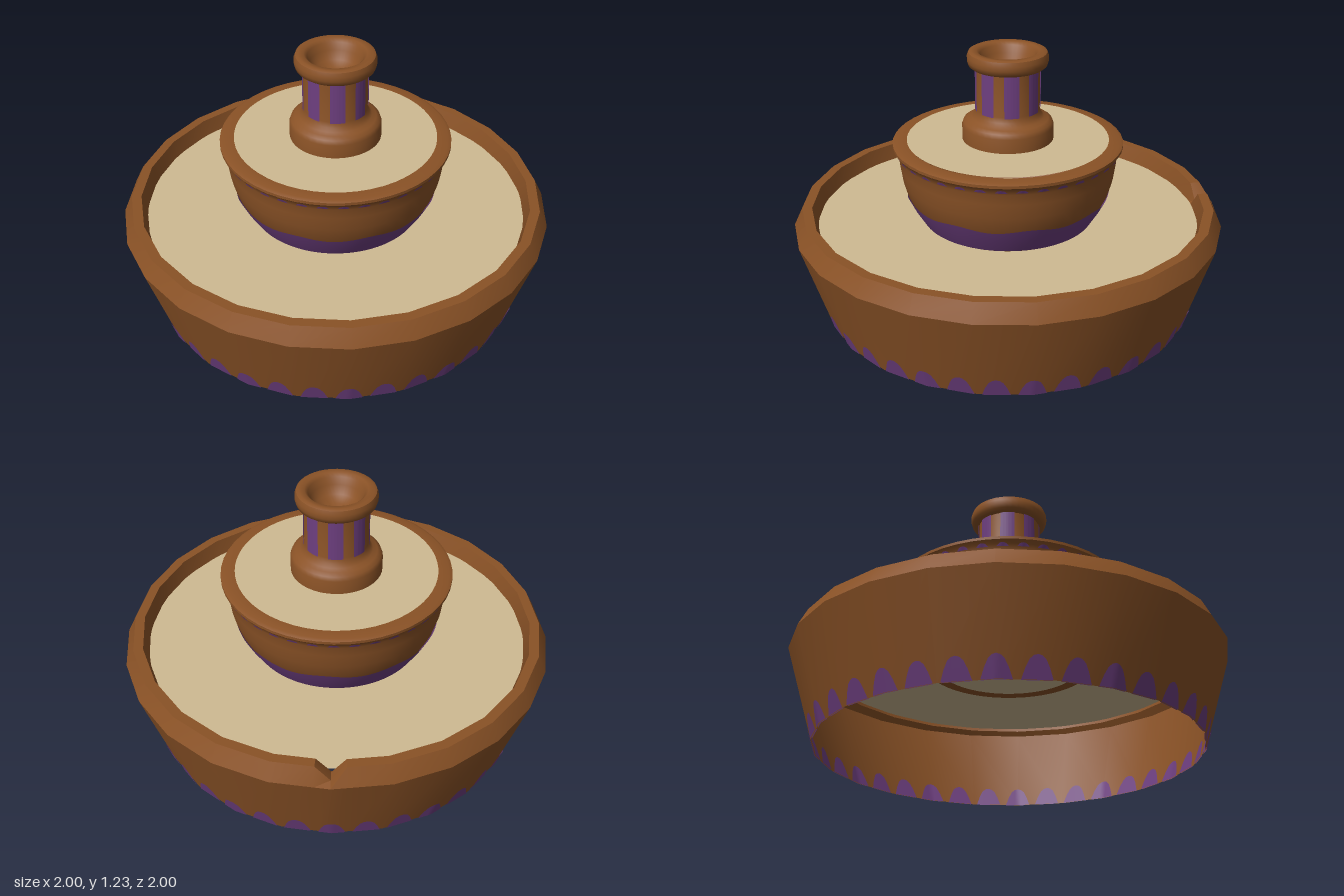
import * as THREE from 'three';
import { toCreasedNormals } from 'three/addons/utils/BufferGeometryUtils.js';

const RAD = Math.PI / 180;
const clay = new THREE.MeshStandardMaterial({ color: 0x8a5226, side: THREE.DoubleSide });
clay.name = 'clay brown';
const water = new THREE.MeshStandardMaterial({ color: 0xcfba92, side: THREE.DoubleSide });
water.name = 'sandy water';
const glaze = new THREE.MeshStandardMaterial({ color: 0x6e3f80, side: THREE.DoubleSide });
glaze.name = 'purple glaze';

function add(parent, name, geometry, material) {
  const mesh = new THREE.Mesh(geometry, material);
  mesh.name = name;
  parent.add(mesh);
  return mesh;
}

// Surface swept round the y axis; rows(angle) gives the [radius, y] section at each angle
function sweep(angles, rows) {
  const pos = [], idx = [];
  let n = 0;
  angles.forEach((a, i) => {
    const section = rows(a);
    n = section.length;
    for (const [r, y] of section) pos.push(r * Math.sin(a * RAD), y, r * Math.cos(a * RAD));
    if (i === 0) return;
    for (let j = 0; j < n - 1; j++) {
      const p = (i - 1) * n + j, q = i * n + j;
      idx.push(p, q, q + 1, p, q + 1, p + 1);
    }
  });
  const g = new THREE.BufferGeometry();
  g.setAttribute('position', new THREE.Float32BufferAttribute(pos, 3));
  g.setIndex(idx);
  return toCreasedNormals(g, 33 * RAD);
}

function lathe(points, segments) {
  const g = new THREE.LatheGeometry(points.map(([r, y]) => new THREE.Vector2(r, y)), segments);
  return toCreasedNormals(g, 40 * RAD);
}

function disc(radius, y) {
  return new THREE.CircleGeometry(radius, 64).rotateX(-Math.PI / 2).translate(0, y, 0);
}

const steps = (from, to, step) =>
  Array.from({ length: Math.round((to - from) / step) + 1 }, (_, i) => from + i * step);

// Radius factor that keeps a point on a 24-sided outline
const facet = (a) => Math.cos(7.5 * RAD) / Math.cos(((a % 15) - 7.5) * RAD);

// Dome-shaped bump repeated every `pitch` degrees
function scallop(a, pitch, halfWidth, height) {
  const u = ((a % pitch) - pitch / 2) / halfWidth;
  return height * Math.sqrt(Math.max(0, 1 - u * u));
}

// Radius of a profile at a given height
function radiusAt(profile, y) {
  for (let i = 1; i < profile.length; i++) {
    const [r0, y0] = profile[i - 1], [r1, y1] = profile[i];
    if (y1 > y0 && y >= y0 && y <= y1) return r0 + (r1 - r0) * (y - y0) / (y1 - y0);
  }
  return profile[0][0];
}

export function createModel() {
  const model = new THREE.Group();
  model.name = 'fountain';
  const round = steps(0, 360, 1);

  // Basin: open below, bevelled rim, with a small chip in the rim at the back left
  const basin = new THREE.Group();
  basin.name = 'basin';
  model.add(basin);
  const chip = 135;
  const angles = [...steps(0, 360, 15), chip - 4, chip + 4].sort((a, b) => a - b);
  add(basin, 'basinWall', sweep(angles, (a) => {
    const top = a === chip ? 0.43 : 0.5, f = facet(a);
    return [[0.87, 0], [1, 0.42], [0.96, top], [0.915, top], [0.89, 0.41]].map(([r, y]) => [r * f, y]);
  }), clay);
  add(basin, 'basinWater', disc(0.89, 0.425), water);

  // Painted scallops along the foot, inside and out
  for (const [name, offset] of [['outerScallops', 0.004], ['innerScallops', -0.004]]) {
    add(basin, name, sweep(round, (a) => {
      const h = scallop(a, 10, 3.4, 0.092), f = facet(a);
      return [0, h / 2, h].map((y) => [(0.87 + 0.31 * y) * f + offset, y]);
    }), glaze);
  }

  // Upper bowl
  const bowl = new THREE.Group();
  bowl.name = 'upperBowl';
  model.add(bowl);
  const profile = [
    [0.33, 0.41], [0.385, 0.41], [0.44, 0.5], [0.47, 0.56], [0.49, 0.63], [0.5, 0.7],
    [0.505, 0.75], [0.515, 0.775], [0.53, 0.79], [0.53, 0.803], [0.515, 0.81], [0.46, 0.808], [0.45, 0.79],
  ];
  add(bowl, 'bowlShell', lathe(profile, 48), clay);
  add(bowl, 'bowlWater', disc(0.465, 0.814), water);
  const onBowl = (y) => [radiusAt(profile, y) + 0.005, y];
  add(bowl, 'bowlBand', sweep(steps(0, 360, 3), (a) => {
    const top = 0.556 + 0.008 * Math.sin(a * 9 * RAD);
    return [0.43, 0.5, top].map(onBowl);
  }), glaze);
  add(bowl, 'bowlDashes', sweep(round, (a) => {
    const h = scallop(a, 10, 2.6, 0.016);
    return [0.762, 0.762 + h].map(onBowl);
  }), glaze);

  // Column with a flared foot and a hollow cup at the top
  const column = new THREE.Group();
  column.name = 'column';
  model.add(column);
  add(column, 'columnShaft', lathe([
    [0.21, 0.8], [0.21, 0.88], [0.203, 0.9], [0.185, 0.912], [0.165, 0.92], [0.152, 0.935], [0.145, 0.96],
    [0.145, 1.155], [0.165, 1.155], [0.178, 1.165], [0.184, 1.185], [0.184, 1.205], [0.177, 1.224],
    [0.165, 1.23], [0.14, 1.228], [0.125, 1.215], [0.115, 1.18], [0.09, 1.145], [0.05, 1.122], [0, 1.115],
  ], 40), clay);
  for (let k = 0; k < 8; k++) {
    add(column, 'columnStripe', sweep(steps(k * 45 - 13, k * 45 + 13, 2),
      () => [[0.149, 0.955], [0.149, 1.155]]), glaze);
  }

  return model;
}
